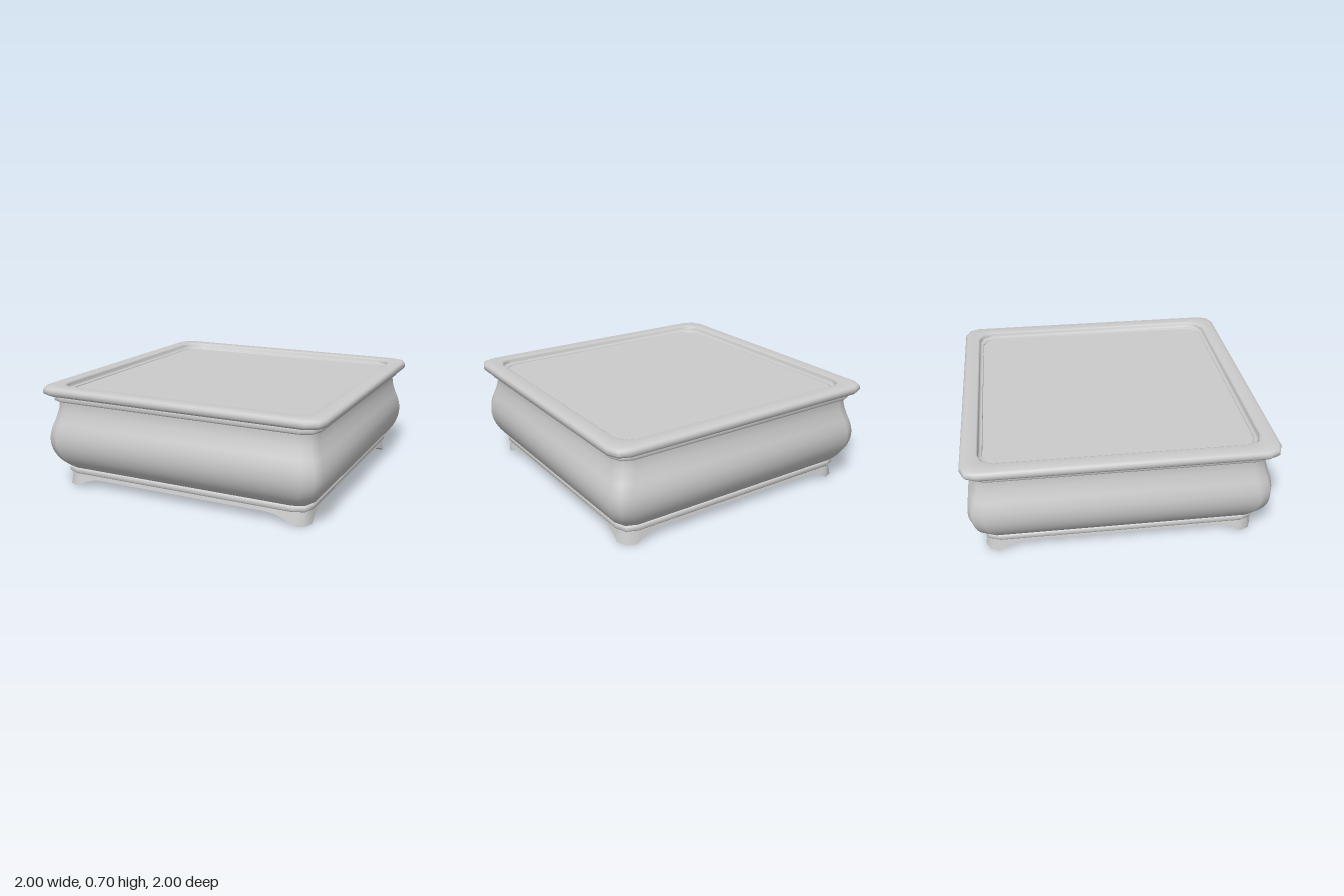
import * as THREE from 'three';
import { toCreasedNormals } from 'three/addons/utils/BufferGeometryUtils.js';

const material = new THREE.MeshStandardMaterial({ color: 0xcccccc });
const valueAt = (v, s) => (typeof v === 'function' ? v(s) : v);

// Square with faceted round corners. Half width and height may vary along each side.
function ring(half, y, centre, stops) {
  const points = [];
  for (let k = 0; k < 4; k++) {
    const turn = (x, z, h) => {
      for (let i = 0; i < k; i++) [x, z] = [-z, x];
      points.push([x, h, z]);
    };
    for (const f of stops) {
      const s = Math.abs(f * centre);
      turn(valueAt(half, s), f * centre, valueAt(y, s));
    }
    const r = (valueAt(half, centre) - centre) * Math.SQRT1_2;
    turn(centre + r, centre + r, valueAt(y, centre));
  }
  return points;
}

// Skin a row of rings; profile entries are [half width, height].
function loft(profile, { centre, stops = [-1, 1] } = {}) {
  const rings = profile.map(([half, y]) => ring(half, y, centre ?? half - 0.1, stops));
  const n = rings[0].length;
  const index = [];
  for (let i = 0; i < rings.length - 1; i++) {
    for (let j = 0; j < n; j++) {
      const a = i * n + j, b = i * n + (j + 1) % n;
      index.push(a, a + n, b, b, a + n, b + n);
    }
  }
  const geometry = new THREE.BufferGeometry();
  geometry.setAttribute('position', new THREE.Float32BufferAttribute(rings.flat(2), 3));
  geometry.setIndex(index);
  return toCreasedNormals(geometry, 0.85);
}

// Flat rounded panel facing up (1) or down (-1)
function panel(half, y, centre, facing) {
  const outline = ring(half, 0, centre, [-1, 1]).map(([x, , z]) => new THREE.Vector2(x, z));
  return new THREE.ShapeGeometry(new THREE.Shape(outline)).rotateX(-facing * Math.PI / 2).translate(0, y, 0);
}

// Half-round moulding between two heights
function moulding(inner, outer, y0, y1) {
  const b = 0.012;
  return loft([
    [inner, y0], [outer - b, y0], [outer - b * 0.3, y0 + b * 0.3], [outer, y0 + b],
    [outer, y1 - b], [outer - b * 0.3, y1 - b * 0.3], [outer - b, y1], [inner, y1],
  ]);
}

export function createModel() {
  const group = new THREE.Group();
  const add = (name, geometry) => {
    const mesh = new THREE.Mesh(geometry, material);
    mesh.name = name;
    group.add(mesh);
  };

  // Bulging bowl wall
  const wall = new THREE.SplineCurve([
    [0.875, 0.125], [0.91, 0.15], [0.95, 0.205], [0.975, 0.275], [0.98, 0.35],
    [0.967, 0.42], [0.947, 0.48], [0.93, 0.55], [0.927, 0.61],
  ].map(([x, y]) => new THREE.Vector2(x, y)));
  add('bowl', loft(wall.getPoints(24).map(p => [p.x, p.y])));

  // Mouldings under the rim and above the feet
  add('upperMoulding', moulding(0.88, 0.95, 0.597, 0.641));
  add('lowerMoulding', moulding(0.80, 0.895, 0.09, 0.132));

  // Rim, with its inner lip stepping down to the soil
  add('rim', loft([
    [0.9, 0.64], [0.975, 0.64], [0.992, 0.648], [1, 0.662], [1, 0.682], [0.993, 0.696], [0.978, 0.703],
    [0.9, 0.703], [0.892, 0.7], [0.888, 0.692], [0.885, 0.675], [0.875, 0.668], [0.865, 0.667], [0.86, 0.655],
  ]));
  add('soil', panel(0.865, 0.66, 0.765, 1));

  // Skirt whose arched underside leaves a foot at each corner
  const arch = s => 0.06 * (1 - THREE.MathUtils.clamp((s - 0.6) / 0.2, 0, 1) ** 2);
  const half = [0.75, 0.79, 0.83, 0.87, 0.91, 0.95, 1];
  const stops = [...half.map(f => -f).reverse(), ...half];
  add('feet', loft([
    [0.803, 0.092], [0.803, arch], [s => 0.89 - 0.22 * arch(s), arch], [0.87, 0.092],
  ], { centre: 0.8, stops }));
  add('base', panel(0.83, 0.09, 0.75, -1));

  return group;
}
